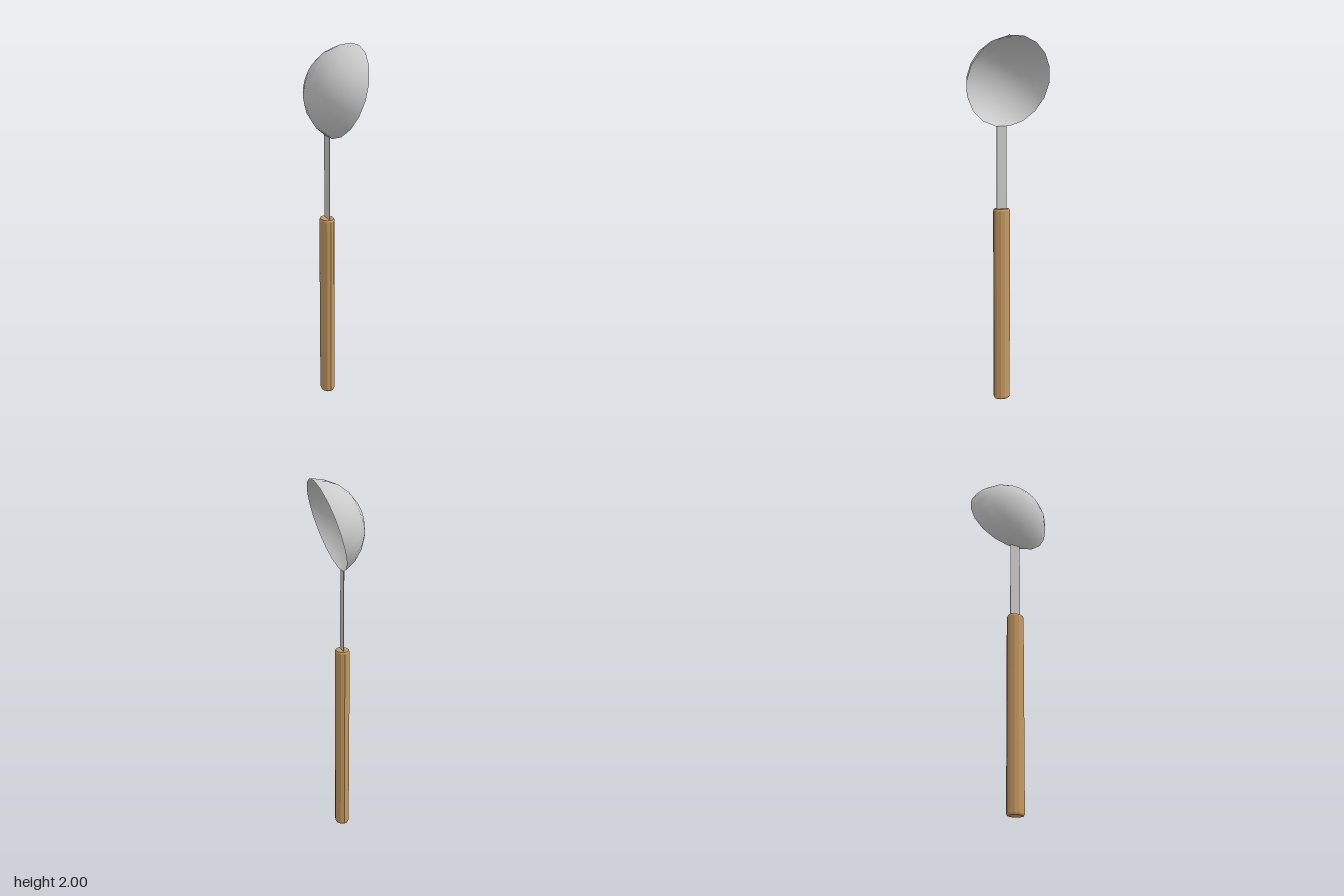
import * as THREE from 'three';

const material = (options) => new THREE.MeshStandardMaterial({ color: 0xcccccc, ...options });

export function createModel() {
  const group = new THREE.Group();
  const add = (name, geometry, mat, x, y) => {
    const mesh = new THREE.Mesh(geometry, mat);
    mesh.name = name;
    mesh.position.set(x, y, 0);
    group.add(mesh);
    return mesh;
  };
  const rad = THREE.MathUtils.degToRad;

  // Bowl: an open spherical cap, tilted so that it opens sideways and slightly down
  const cap = new THREE.SphereGeometry(0.257, 18, 5, rad(10), Math.PI * 2, 0, rad(75));
  cap.rotateZ(rad(72));
  add('bowl', cap, material({ side: THREE.DoubleSide }), 0.122, 1.747);

  // Shank: thin flat metal strip between handle and bowl
  add('shank', new THREE.BoxGeometry(0.003, 0.48, 0.06), material(), -0.026, 1.3);

  // Handle: oval wooden grip with slightly bevelled ends
  const profile = [[0, 0], [0.9, 0], [1, 0.01], [1, 1.076], [0.9, 1.086], [0, 1.086]]
    .map(([r, y]) => new THREE.Vector2(r, y));
  const grip = new THREE.LatheGeometry(profile, 12);
  grip.scale(0.04, 1, 0.048);
  const wood = material({ flatShading: true });
  wood.color.set(0xc89b62);
  add('handle', grip, wood, -0.027, 0);

  return group;
}
